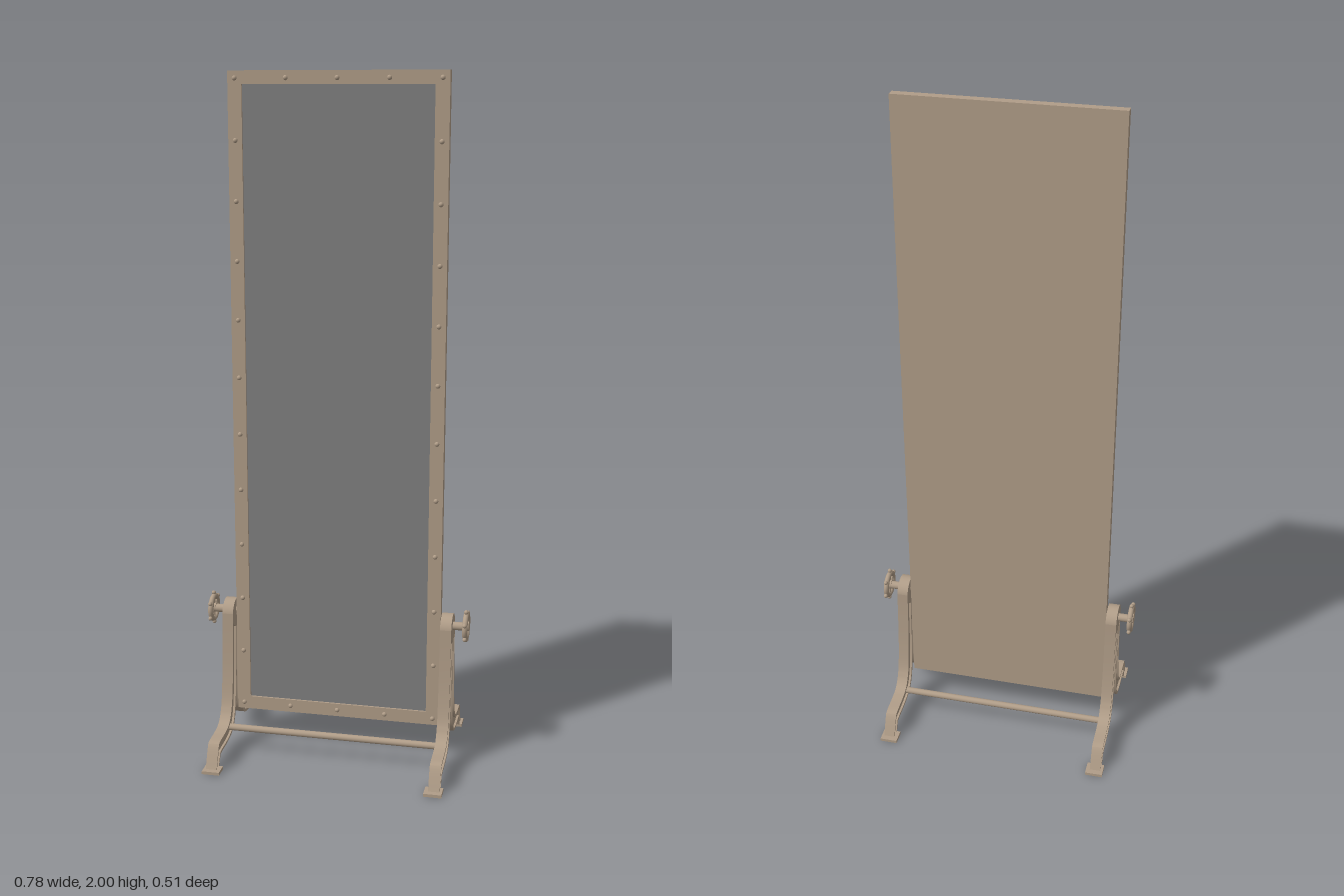
import * as THREE from 'three';
import { toCreasedNormals } from 'three/addons/utils/BufferGeometryUtils.js';

export function createModel() {
  const model = new THREE.Group();
  model.name = 'standingMirror';
  const iron = new THREE.MeshStandardMaterial({ color: 0xb09d88 });
  iron.name = 'tanMetal';
  const glass = new THREE.MeshStandardMaterial({ color: 0x808080 });
  glass.name = 'mirrorGrey';

  const add = (parent, name, geo, x = 0, y = 0, z = 0, mat = iron) => {
    const mesh = new THREE.Mesh(geo, mat);
    mesh.name = name;
    mesh.position.set(x, y, z);
    parent.add(mesh);
    return mesh;
  };
  // Cylinder lying along x
  const rod = (radius, length, sides = 20) =>
    new THREE.CylinderGeometry(radius, radius, length, sides).rotateZ(Math.PI / 2);
  const rect = (Type, x, y0, y1) => new Type([
    new THREE.Vector2(-x, y0), new THREE.Vector2(x, y0),
    new THREE.Vector2(x, y1), new THREE.Vector2(-x, y1)]);

  // Panel: frame border, closed back and recessed mirror
  const panel = new THREE.Group();
  panel.name = 'mirrorPanel';
  model.add(panel);
  const border = rect(THREE.Shape, 0.31, 0.105, 2);
  border.holes.push(rect(THREE.Path, 0.27, 0.145, 1.963));
  add(panel, 'frame', new THREE.ExtrudeGeometry(border, { depth: 0.018, bevelEnabled: false }), 0, 0, -0.007);
  add(panel, 'backPanel', new THREE.BoxGeometry(0.62, 1.895, 0.008), 0, 1.0525, -0.011);
  add(panel, 'mirror', new THREE.BoxGeometry(0.54, 1.818, 0.008), 0, 1.054, 0.001, glass);

  // Rivets around the frame
  const rivetGeo = new THREE.SphereGeometry(0.007, 12, 8);
  const rivet = (x, y) => {
    add(panel, 'rivet', rivetGeo, x, y, 0.011).scale.z = 0.85;
  };
  for (let i = 0; i < 12; i++) {
    const y = 0.125 + i * 0.1686;
    for (const side of [-1, 1]) rivet(side * 0.29, y);
  }
  for (const x of [-0.145, 0, 0.145]) {
    rivet(x, 0.125);
    rivet(x, 1.98);
  }

  // Leg profile: upper and lower edges as (z, y)
  const edge = (pts) => new THREE.SplineCurve(pts.map(([z, y]) => new THREE.Vector2(z, y))).getPoints(48);
  const upper = edge([[0.044, 0.42], [0.047, 0.34], [0.055, 0.23], [0.071, 0.14], [0.1, 0.095],
    [0.14, 0.083], [0.2, 0.079], [0.216, 0.067], [0.241, 0.008]]);
  const lower = edge([[0.006, 0.4], [0.01, 0.32], [0.015, 0.2], [0.03, 0.11], [0.06, 0.06],
    [0.11, 0.044], [0.188, 0.04], [0.2, 0.033], [0.212, 0.008]]);
  // Strip between two fractions of the leg depth, extruded across x
  const strip = (a, b, width) => {
    const line = (t) => upper.map((p, i) => p.clone().lerp(lower[i], t));
    const shape = new THREE.Shape([...line(a), ...line(b).reverse()]);
    const geo = new THREE.ExtrudeGeometry(shape, { depth: width, bevelEnabled: false });
    return toCreasedNormals(geo.translate(0, 0, -width / 2).rotateY(-Math.PI / 2), 0.6);
  };
  const legParts = [
    ['legWeb', strip(0.02, 0.98, 0.02)],
    ['outerFlange', strip(0, 0.17, 0.033)],
    ['innerFlange', strip(0.83, 1, 0.033)],
  ];
  const hubGeo = rod(0.044, 0.033, 32);
  const footGeo = new THREE.BoxGeometry(0.052, 0.009, 0.044);

  // Handwheel: rim, spokes and finger balls, facing along x
  const handwheel = (turn) => {
    const wheel = new THREE.Group();
    wheel.name = 'handwheel';
    add(wheel, 'rim', new THREE.TorusGeometry(0.035, 0.008, 10, 32).rotateY(Math.PI / 2));
    add(wheel, 'wheelHub', rod(0.014, 0.016));
    for (let i = 0; i < 6; i++) {
      const arm = new THREE.Group();
      arm.name = 'spokeArm';
      arm.rotation.x = turn + i * Math.PI / 3;
      add(arm, 'spoke', new THREE.CylinderGeometry(0.004, 0.004, 0.034, 8), 0, 0.02, 0);
      add(arm, 'fingerBall', new THREE.SphereGeometry(0.0065, 12, 8), 0, 0.046, 0);
      wheel.add(arm);
    }
    return wheel;
  };

  // Side stands
  for (const side of [-1, 1]) {
    const stand = new THREE.Group();
    stand.name = side > 0 ? 'leftStand' : 'rightStand';
    stand.position.x = side * 0.329;
    model.add(stand);
    add(stand, 'pivotHub', hubGeo, 0, 0.412, 0);
    for (const dir of [1, -1]) {
      const leg = new THREE.Group();
      leg.name = dir > 0 ? 'frontLeg' : 'backLeg';
      leg.rotation.y = dir > 0 ? 0 : Math.PI;
      for (const [name, geo] of legParts) add(leg, name, geo);
      add(leg, 'footPlate', footGeo, -dir * side * 0.002, 0.0045, 0.235);
      stand.add(leg);
    }
    add(stand, 'axle', rod(0.012, 0.075), side * 0.018, 0.42, 0);
    const wheel = handwheel(side > 0 ? 0.16 : 0);
    wheel.position.set(side * 0.055, 0.422, 0);
    stand.add(wheel);
  }

  // Cross rods joining the stands
  for (const z of [-0.09, 0.087]) add(model, 'crossRod', rod(0.01, 0.64), 0, 0.075, z);

  return model;
}
